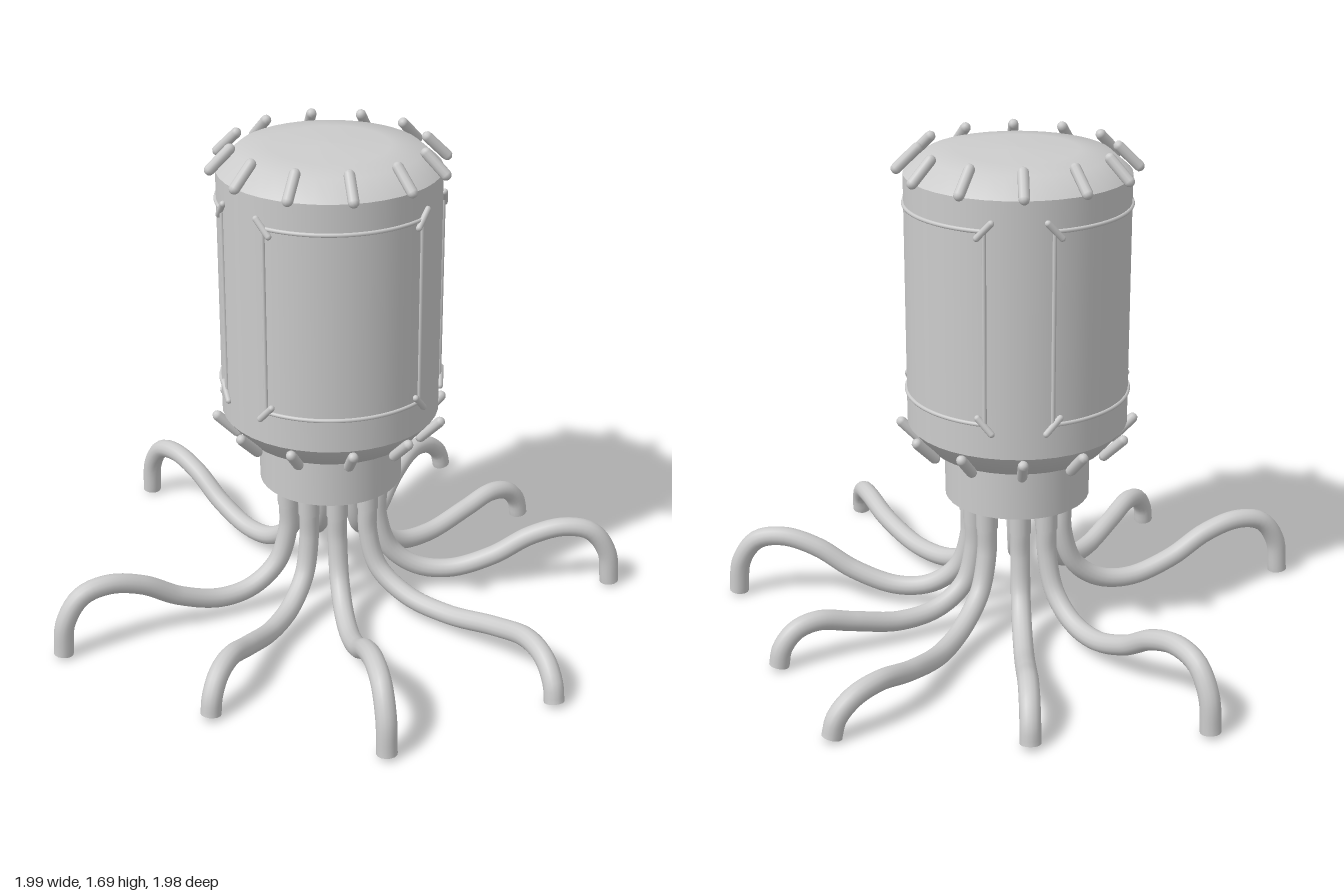
import * as THREE from 'three';

const CX = -0.045, CZ = -0.045; // axis of the body
const RAD = Math.PI / 180;
const mat = new THREE.MeshStandardMaterial({ color: 0xcccccc });

// Point in cylindrical coordinates; angle runs from +x towards +z
const polar = (deg, r, y) => new THREE.Vector3(r * Math.cos(deg * RAD), y, r * Math.sin(deg * RAD));

function add(parent, name, geometry) {
  const mesh = new THREE.Mesh(geometry, mat);
  mesh.name = name;
  parent.add(mesh);
  return mesh;
}

function lathe(parent, name, points) {
  return add(parent, name, new THREE.LatheGeometry(points.map(p => new THREE.Vector2(...p)), 40));
}

// Rounded rod between two points
function rod(parent, name, a, b, radius) {
  const d = b.clone().sub(a);
  const mesh = add(parent, name, new THREE.CapsuleGeometry(radius, d.length(), 3, 10));
  mesh.position.copy(a).lerp(b, 0.5);
  mesh.quaternion.setFromUnitVectors(new THREE.Vector3(0, 1, 0), d.normalize());
}

// Leg profiles: distance as a share of the reach, then height
const TALL = [[0.17, 0.38], [0.172, 0.28], [0.215, 0.15], [0.31, 0.075], [0.43, 0.06], [0.58, 0.11],
  [0.71, 0.19], [0.83, 0.225], [0.925, 0.205], [0.985, 0.12], [1, 0]];
const LOW = [[0.19, 0.38], [0.192, 0.28], [0.235, 0.15], [0.35, 0.075], [0.51, 0.06], [0.70, 0.1],
  [0.84, 0.133], [0.93, 0.115], [0.985, 0.06], [1, 0]];

// Start, control and end angle, reach, profile
const LEGS = [
  [0, 0, 0, 1.01, TALL], [40, 33, 46, 1.03, LOW], [83, 82, 81, 1.015, TALL],
  [118, 118, 117, 0.88, LOW], [155, 155, 155, 1.01, TALL], [225, 225, 226, 1.01, TALL],
  [259, 260, 260, 0.88, LOW], [-59, -75, -63, 1.02, LOW], [-35, -35, -34.5, 0.89, LOW],
];
const LEG_BASE = 0.165, LEG_R = 0.034;

function makeLeg([a0, am, a1, reach, profile]) {
  const leg = new THREE.Group();
  leg.name = 'leg';
  const first = profile[0][0];
  const points = profile.map(([f, y]) => {
    const t = (f - first) / (1 - first);
    const angle = (1 - t) ** 2 * a0 + 2 * t * (1 - t) * am + t * t * a1;
    return polar(angle, LEG_BASE + t * (reach - LEG_BASE), y);
  });
  const curve = new THREE.CatmullRomCurve3(points, false, 'centripetal');
  add(leg, 'legTube', new THREE.TubeGeometry(curve, 56, LEG_R, 14));
  const foot = add(leg, 'footCap', new THREE.CircleGeometry(LEG_R, 14));
  foot.rotation.x = Math.PI / 2;
  foot.position.copy(points[points.length - 1]).setY(0.001);
  const socket = add(leg, 'legSocket', new THREE.CylinderGeometry(0.037, 0.037, 0.1, 16));
  socket.position.copy(polar(a0, LEG_BASE, 0.425));
  return leg;
}

// Thin raised frame wrapped on the wall, with a diagonal stitch on each corner
function makePanel(from, to) {
  const panel = new THREE.Group();
  panel.name = 'wallPanel';
  const low = 0.845, high = 1.485, r = 0.372;
  for (const y of [low, high]) {
    const arc = Array.from({ length: 17 }, (_, i) => polar(from + (to - from) * i / 16, r, y));
    add(panel, 'panelSeam', new THREE.TubeGeometry(new THREE.CatmullRomCurve3(arc), 32, 0.007, 8));
  }
  for (const [angle, side] of [[from, -1], [to, 1]]) {
    rod(panel, 'panelSeam', polar(angle, r, low), polar(angle, r, high), 0.007);
    for (const [y, up] of [[low, -1], [high, 1]]) {
      rod(panel, 'cornerStitch', polar(angle - side * 3.5, r + 0.004, y - up * 0.022),
        polar(angle + side * 3.5, r + 0.004, y + up * 0.028), 0.011);
    }
  }
  return panel;
}

export function createModel() {
  const model = new THREE.Group();
  model.name = 'leggedCapsule';
  const body = new THREE.Group();
  body.name = 'body';
  body.position.set(CX, 0, CZ);
  model.add(body);

  // Capsule shell, bottom to top
  const neck = add(body, 'neck', new THREE.CylinderGeometry(0.247, 0.247, 0.2, 40));
  neck.position.y = 0.56;
  lathe(body, 'lowerRim', [[0, 0.635], [0.2, 0.637], [0.305, 0.65], [0.372, 0.73]]);
  lathe(body, 'wall', [[0.372, 0.73], [0.372, 1.585]]);
  lathe(body, 'lid', [[0.372, 1.585], [0.305, 1.645], [0.2, 1.658], [0, 1.664]]);

  // Stitches around both rims
  for (let i = 0; i < 12; i++) {
    const a = 20 + i * 30;
    rod(body, 'lidStitch', polar(a, 0.392, 1.597), polar(a, 0.325, 1.663), 0.018);
    rod(body, 'lowerStitch', polar(a, 0.392, 0.718), polar(a, 0.325, 0.65), 0.018);
  }

  // Three panels round the wall
  for (let i = 0; i < 3; i++) body.add(makePanel(39 + i * 120, 125 + i * 120));

  for (const spec of LEGS) body.add(makeLeg(spec));
  return model;
}
